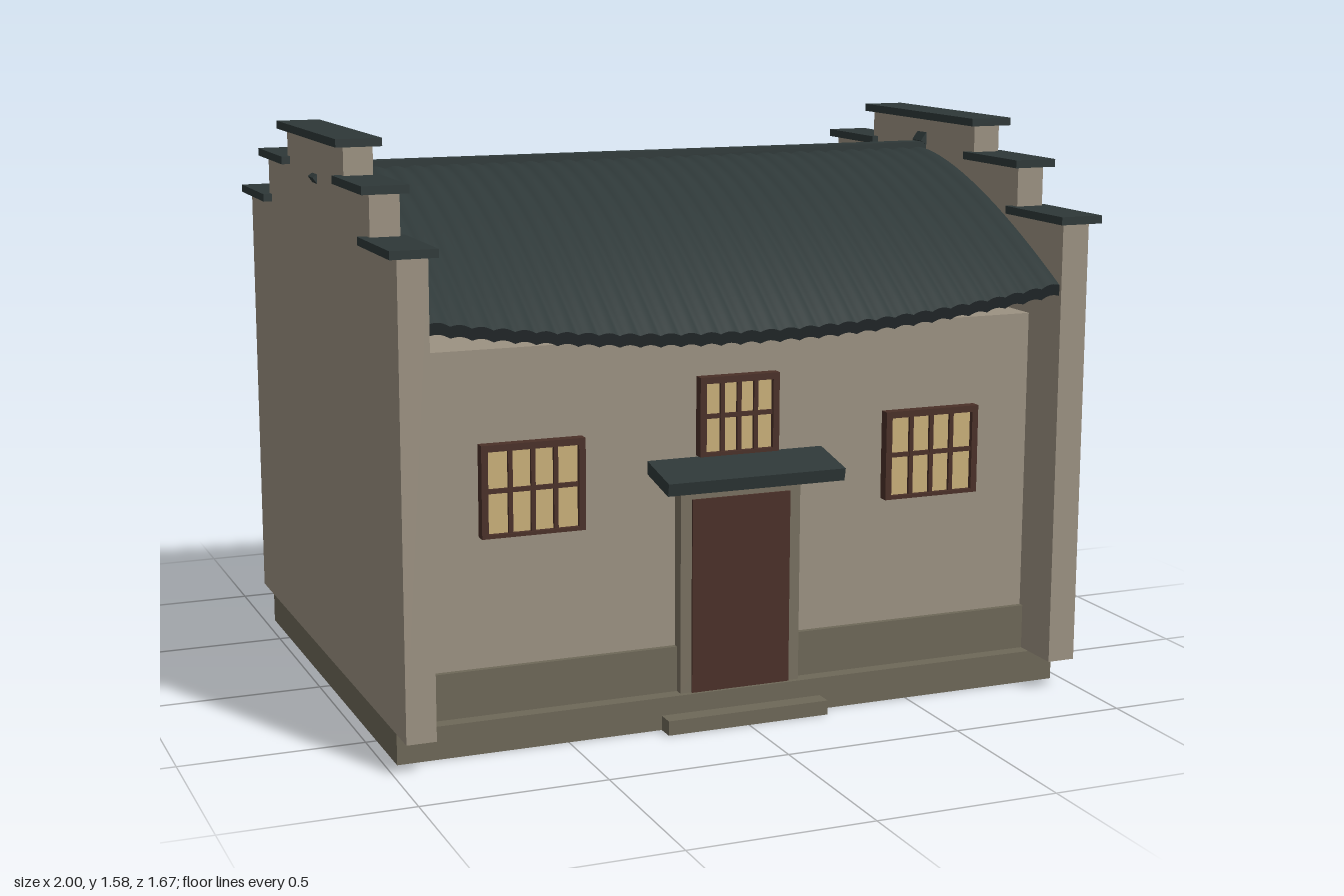
import * as THREE from 'three';

const material = (name, color) => {
  const m = new THREE.MeshStandardMaterial({ color });
  m.name = name;
  return m;
};

export function createModel() {
  const wall = material('plaster wall', 0x9c9282);
  const stone = material('stone base', 0x6e6858);
  const surroundStone = material('door surround stone', 0x787060);
  const tile = material('roof tile', 0x2e3838);
  const eave = material('eave shadow tile', 0x1c2224);
  const wood = material('dark wood', 0x4a3028);
  const pane = material('window pane', 0xc9b07a);

  const model = new THREE.Group();
  model.name = 'house';

  // Box given by its minimum and maximum corners
  const box = (name, mat, [x0, y0, z0], [x1, y1, z1], parent = model) => {
    const mesh = new THREE.Mesh(new THREE.BoxGeometry(x1 - x0, y1 - y0, z1 - z0), mat);
    mesh.position.set((x0 + x1) / 2, (y0 + y1) / 2, (z0 + z1) / 2);
    mesh.name = name;
    parent.add(mesh);
    return mesh;
  };

  // Base, front step, body and its stone band
  box('base', stone, [-0.97, 0, -0.7], [0.97, 0.09, 0.7]);
  box('frontStep', stone, [-0.235, 0, 0.69], [0.235, 0.04, 0.75]);
  box('body', wall, [-0.9, 0.09, -0.645], [0.9, 1.06, 0.645]);
  box('stoneBand', stone, [-0.9, 0.09, -0.66], [0.9, 0.215, 0.66]);

  // Stepped gable walls with tiled caps
  for (const side of [-1, 1]) {
    const gable = new THREE.Group();
    gable.name = side > 0 ? 'leftGable' : 'rightGable';
    model.add(gable);
    const xs = (a, b) => (side > 0 ? [a, b] : [-b, -a]);
    const [w0, w1] = xs(0.895, 0.975);
    const [c0, c1] = xs(0.875, 1);

    box('gableCentre', wall, [w0, 0.09, -0.315], [w1, 1.56, 0.315], gable);
    box('gableCap', tile, [c0, 1.558, -0.337], [c1, 1.58, 0.337], gable);
    for (const end of [-1, 1]) {
      const steps = [[0.315, 0.565, 1.46, 0.287, 0.587], [0.565, 0.81, 1.328, 0.535, 0.835]];
      for (const [z0, z1, top, k0, k1] of steps) {
        const zs = (a, b) => (end > 0 ? [a, b] : [-b, -a]);
        const [a, b] = zs(z0, z1);
        const [c, d] = zs(k0, k1);
        box('gableStep', wall, [w0, 0.09, a], [w1, top, b], gable);
        box('stepCap', tile, [c0, top, c], [c1, top + 0.022, d], gable);
      }
    }

    // Tilted ridge end poking through the wall
    const ridgeEnd = new THREE.Mesh(new THREE.BoxGeometry(0.115, 0.03, 0.055), tile);
    ridgeEnd.position.set(side * 0.932, 1.472, 0);
    ridgeEnd.rotation.z = -side * 0.62;
    ridgeEnd.name = 'ridgeEnd';
    gable.add(ridgeEnd);
  }

  // Curved roof: rounded slopes, eaves lifting towards the gables, rows of tiles
  const halfWidth = 0.895;
  const rows = 32;
  const roofGeometry = new THREE.BoxGeometry(2 * halfWidth, 0.03, 1.6, rows * 6, 1, 32);
  const p = roofGeometry.attributes.position;
  for (let i = 0; i < p.count; i++) {
    const u = p.getX(i) / halfWidth;
    const t = Math.abs(p.getZ(i)) / 0.8;
    const drop = 0.385 * t ** 1.6 - 0.075 * u * u * t * t;
    const roll = 0.007 * Math.abs(Math.sin((u + 1) * 0.5 * rows * Math.PI));
    p.setY(i, 1.455 + p.getY(i) - drop + roll);
  }
  roofGeometry.computeVertexNormals();
  const roof = new THREE.Mesh(roofGeometry, [tile, tile, tile, eave, eave, eave]);
  roof.name = 'roof';
  model.add(roof);
  box('ridge', tile, [-halfWidth, 1.455, -0.025], [halfWidth, 1.49, 0.025]);

  // Door, surround and sloping canopy
  box('doorSurround', surroundStone, [-0.175, 0.09, 0.64], [0.175, 0.67, 0.685]);
  box('door', wood, [-0.143, 0.09, 0.68], [0.143, 0.625, 0.691]);
  const canopy = new THREE.Mesh(new THREE.BoxGeometry(0.51, 0.035, 0.17), tile);
  canopy.position.set(0, 0.7, 0.71);
  canopy.rotation.x = 0.2;
  canopy.name = 'doorCanopy';
  model.add(canopy);

  // Barred windows
  const addWindow = (name, cx, y0, y1, width) => {
    const group = new THREE.Group();
    group.name = name;
    model.add(group);
    const x0 = cx - width / 2;
    const x1 = cx + width / 2;
    const cy = (y0 + y1) / 2;
    const f = 0.018;
    box('pane', pane, [x0 + 0.005, y0 + 0.005, 0.64], [x1 - 0.005, y1 - 0.005, 0.661], group);
    for (const x of [x0, x1 - f]) box('frameSide', wood, [x, y0, 0.64], [x + f, y1, 0.675], group);
    box('frameTop', wood, [x0 + f, y1 - f, 0.64], [x1 - f, y1, 0.675], group);
    box('frameBottom', wood, [x0 + f, y0, 0.64], [x1 - f, y0 + 0.01, 0.675], group);
    for (const k of [-1, 0, 1]) {
      const x = cx + k * (width - 2 * f) / 4;
      box('bar', wood, [x - 0.006, y0 + 0.01, 0.65], [x + 0.006, y1 - f, 0.67], group);
    }
    box('crossBar', wood, [x0 + f, cy - 0.006, 0.65], [x1 - f, cy + 0.006, 0.669], group);
  };
  addWindow('leftWindow', 0.582, 0.568, 0.815, 0.285);
  addWindow('rightWindow', -0.582, 0.568, 0.815, 0.285);
  addWindow('upperWindow', 0, 0.735, 0.95, 0.23);

  return model;
}
